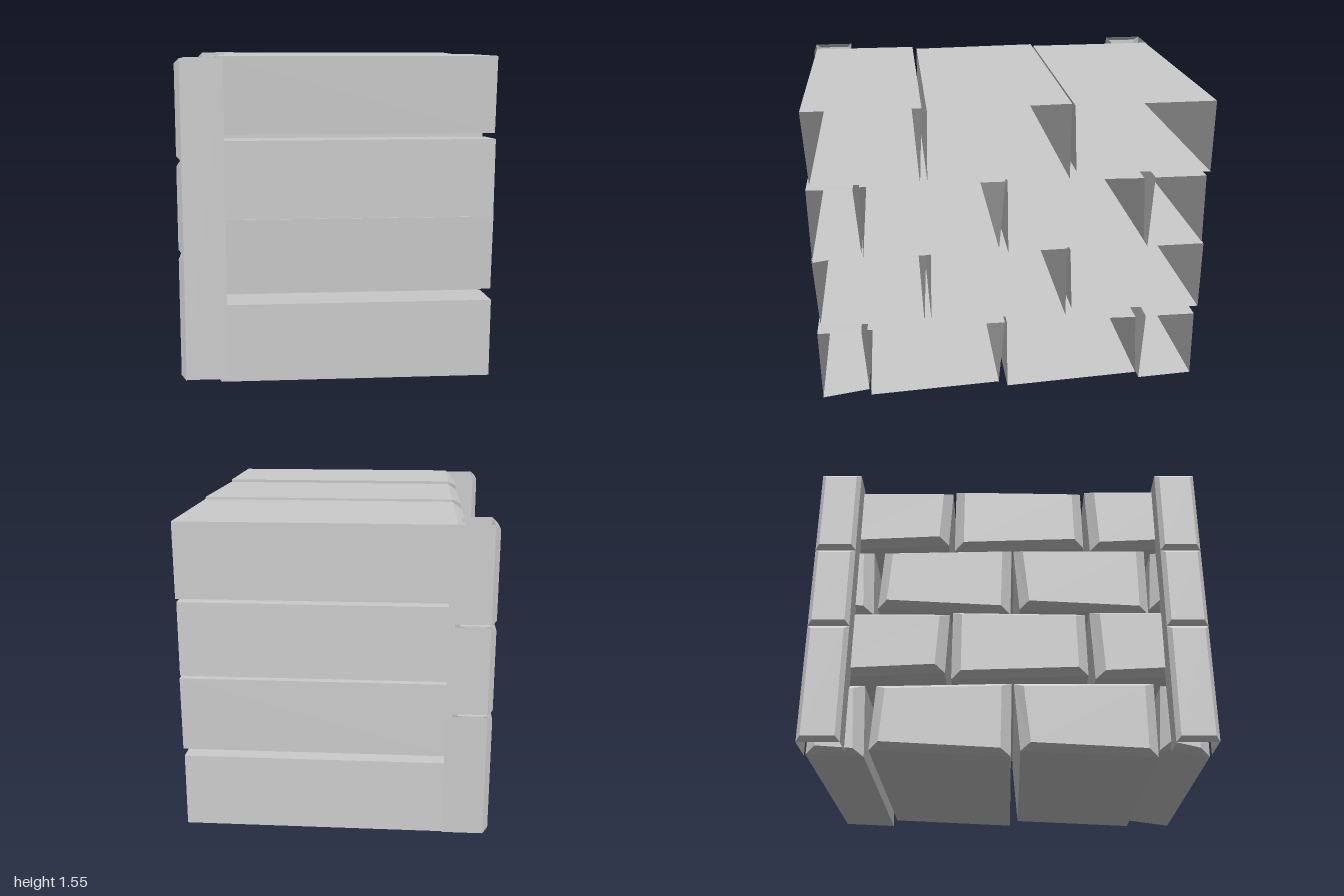
import * as THREE from 'three';

const material = new THREE.MeshStandardMaterial({ color: 0xcccccc, side: THREE.DoubleSide, flatShading: true });

// Hollow block open towards +x, with a chamfered cap at its -x end.
// corners are [z, y]: +z top, -z top, -z bottom, +z bottom.
// walls lists the sides to build: 0 top, 1 back, 2 bottom, 3 front.
function hollowBlock(name, corners, [xOpen, xBevel, xCap], [insetZ, insetY], walls = [0, 1, 2, 3]) {
  const cz = corners.reduce((s, c) => s + c[0], 0) / 4;
  const cy = corners.reduce((s, c) => s + c[1], 0) / 4;
  const ring = (x, inset) => corners.map(([z, y]) => [
    x,
    y - (inset ? Math.sign(y - cy) * insetY : 0),
    z - (inset ? Math.sign(z - cz) * insetZ : 0),
  ]);
  const open = ring(xOpen, false), bevel = ring(xBevel, false), cap = ring(xCap, true);
  const points = [];
  const quad = (a, b, c, d) => points.push(...a, ...b, ...c, ...a, ...c, ...d);
  for (let i = 0; i < 4; i++) {
    const j = (i + 1) % 4;
    if (walls.includes(i)) quad(open[i], open[j], bevel[j], bevel[i]);
    quad(bevel[i], bevel[j], cap[j], cap[i]);
  }
  quad(...cap);
  const geometry = new THREE.BufferGeometry();
  geometry.setAttribute('position', new THREE.Float32BufferAttribute(points, 3));
  geometry.computeVertexNormals();
  const mesh = new THREE.Mesh(geometry, material);
  mesh.name = name;
  return mesh;
}

// Slightly uneven brick outlines for the two alternating courses
const lowerCourse = [
  [[0.985, 0.386], [0.764, 0.375], [0.74, 0.038], [0.98, 0.005]],
  [[0.732, 0.391], [0.029, 0.389], [0.06, 0.034], [0.732, 0.003]],
  [[0.019, 0.391], [-0.662, 0.377], [-0.68, 0.038], [0.013, 0.005]],
  [[-0.718, 0.378], [-0.978, 0.377], [-0.984, 0.016], [-0.7, 0.003]],
];
const upperCourse = [
  [[0.984, 0.795], [0.424, 0.795], [0.442, 0.416], [0.965, 0.436]],
  [[0.4, 0.783], [-0.287, 0.793], [-0.287, 0.415], [0.407, 0.434]],
  [[-0.303, 0.783], [-0.995, 0.785], [-0.995, 0.422], [-0.319, 0.45]],
];

function createWall() {
  const wall = new THREE.Group();
  wall.name = 'brickWall';
  const courses = [[lowerCourse, 0], [upperCourse, 0], [lowerCourse, 0.779], [upperCourse, 0.755]];
  courses.forEach(([bricks, lift], row) => {
    const course = new THREE.Group();
    course.name = `brickCourse${row + 1}`;
    for (const brick of bricks) {
      const corners = brick.map(([z, y]) => [z, y + lift]);
      course.add(hollowBlock('brick', corners, [0.742, -0.555, -0.602], [0.05, 0.03]));
    }
    wall.add(course);
  });
  return wall;
}

// Flat outer strip of a corner pillar
function flange(z, y0, y1) {
  const mesh = new THREE.Mesh(new THREE.PlaneGeometry(0.197, y1 - y0), material);
  mesh.name = 'pillarFlange';
  mesh.position.set(-0.6225, (y0 + y1) / 2, z);
  if (z < 0) mesh.rotation.y = Math.PI;
  return mesh;
}

function createPillar(name, side) {
  const pillar = new THREE.Group();
  pillar.name = name;
  const outer = 0.998 * side, inner = 0.79 * side;
  const zFront = Math.max(outer, inner), zBack = Math.min(outer, inner);
  const levels = [0.02, 0.632, 1.072, 1.542];
  for (let i = 0; i < 3; i++) {
    const y0 = levels[i], y1 = levels[i + 1];
    const corners = [[zFront, y1], [zBack, y1], [zBack, y0], [zFront, y0]];
    // Inner wall, plus a shelf at each notch; the ends stay open
    const walls = [side > 0 ? 1 : 3];
    if (i < 2) walls.push(0);
    pillar.add(hollowBlock('pillarBlock', corners, [-0.58, -0.721, -0.746], [0.022, 0.024], walls));
    // The back strip is split at the notches
    if (side < 0) pillar.add(flange(outer, y0 + (i ? 0.008 : 0), y1 - (i < 2 ? 0.008 : 0)));
  }
  if (side > 0) pillar.add(flange(outer, 0.025, 1.542));
  return pillar;
}

export function createModel() {
  const model = new THREE.Group();
  model.name = 'brickCorner';
  model.add(createWall(), createPillar('frontPillar', 1), createPillar('backPillar', -1));
  return model;
}
